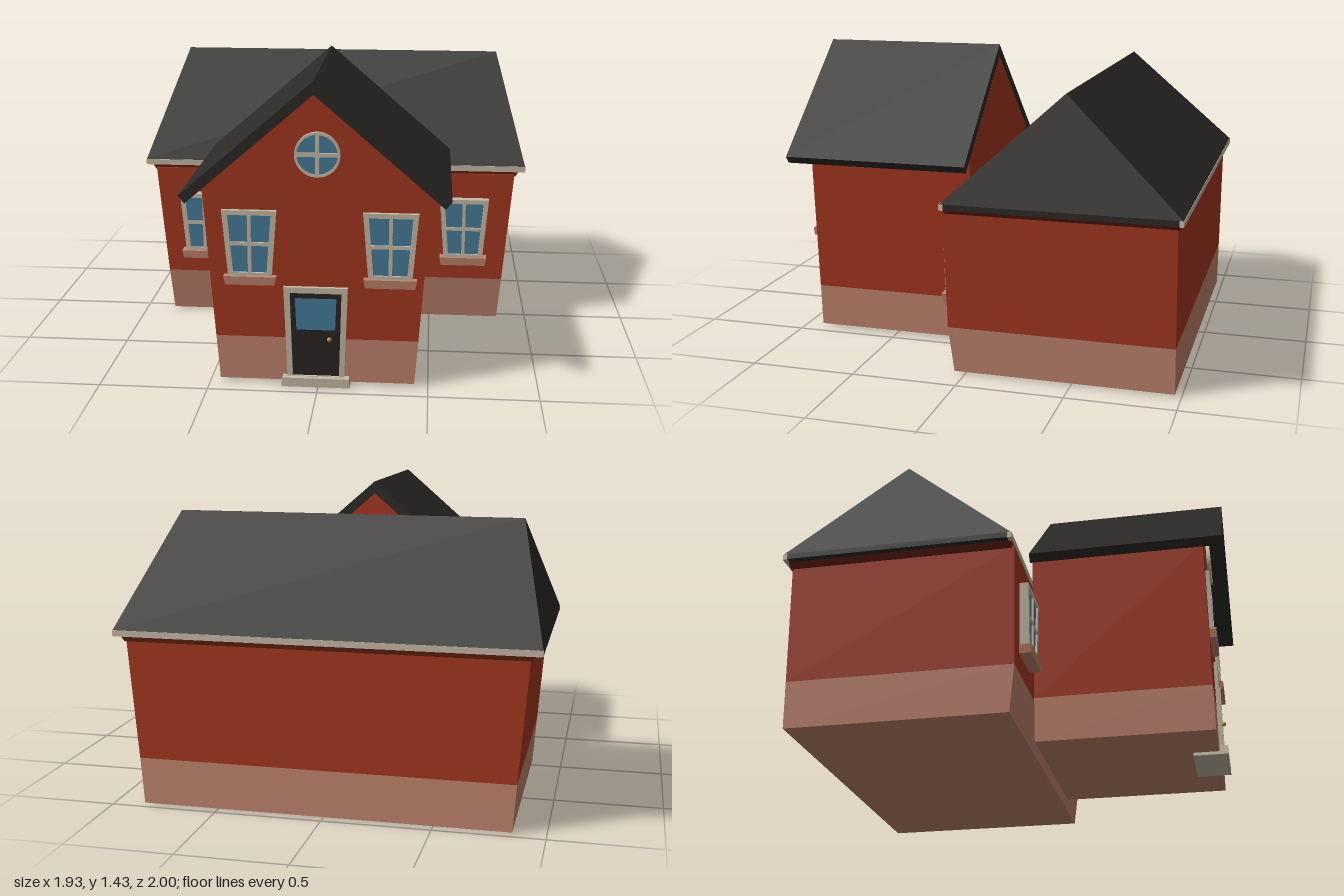
import * as THREE from 'three';

const mat = (color) => new THREE.MeshStandardMaterial({ color, flatShading: true });
const M = {
  wall: mat(0xa83820), base: mat(0xc48670), roof: mat(0x2b2a28), cornice: mat(0x6b2413),
  trim: mat(0xc9bda8), glass: mat(0x467f9c), door: mat(0x282422), knob: mat(0xc08a2a),
};

// Mesh with a name, added to its parent
function add(parent, name, geometry, material, x = 0, y = 0, z = 0) {
  const mesh = new THREE.Mesh(geometry, material);
  mesh.name = name;
  mesh.position.set(x, y, z);
  parent.add(mesh);
  return mesh;
}

// Box whose bottom and top rectangles differ: [x0, x1, z0, z1]
function frustum(y0, y1, bottom, top = bottom) {
  const g = new THREE.BoxGeometry(1, 1, 1);
  const p = g.attributes.position;
  for (let i = 0; i < p.count; i++) {
    const r = p.getY(i) > 0 ? top : bottom;
    p.setXYZ(i, p.getX(i) > 0 ? r[1] : r[0], p.getY(i) > 0 ? y1 : y0, p.getZ(i) > 0 ? r[3] : r[2]);
  }
  g.computeVertexNormals();
  return g;
}

const poly = (pts) => new THREE.Shape(pts.map(([x, y]) => new THREE.Vector2(x, y)));
const extrude = (shape, depth) =>
  new THREE.ExtrudeGeometry(shape, { depth, bevelEnabled: false, curveSegments: 24 });
// Symmetric trapezoid, half widths b (bottom) and t (top)
const trapezoid = (b, t, y0, y1) => poly([[-b, y0], [b, y0], [t, y1], [-t, y1]]);

// Four-pane tapered window; origin at the frame's bottom centre, front face at z = 0
function makeWindow(depth) {
  const g = new THREE.Group();
  g.name = 'window';
  const h = 0.31, b = 0.098, t = 0.123, bar = 0.008;
  const frame = trapezoid(b, t, 0, h);
  const inner = (y) => b + (t - b) * y / h - 0.024;
  for (const s of [-1, 1]) {
    for (const [y0, y1] of [[0.02, 0.146], [0.162, h - 0.022]]) {
      frame.holes.push(poly([[s * bar, y0], [s * inner(y0), y0], [s * inner(y1), y1], [s * bar, y1]]));
    }
  }
  add(g, 'windowFrame', extrude(frame, depth), M.trim, 0, 0, -depth);
  add(g, 'windowGlass', new THREE.ShapeGeometry(trapezoid(b - 0.01, t - 0.01, 0.01, h - 0.01)), M.glass, 0, 0, -0.009);
  add(g, 'windowSill', frustum(-0.035, 0.005, [-0.111, 0.111, -depth, 0.012], [-0.119, 0.119, -depth, 0.014]), M.base);
  return g;
}

function makeRoundWindow() {
  const g = new THREE.Group();
  g.name = 'roundWindow';
  const R = 0.101, r = 0.09, bar = 0.009;
  const frame = new THREE.Shape().absarc(0, 0, R, 0, Math.PI * 2);
  const a = Math.asin(bar / r), c = Math.sqrt(r * r - bar * bar);
  // Quarter panes
  for (let k = 0; k < 4; k++) {
    const q = k * Math.PI / 2;
    const pts = [[bar, bar], [c, bar]];
    for (let i = 1; i <= 8; i++) {
      const u = a + (Math.PI / 2 - 2 * a) * i / 8;
      pts.push([r * Math.cos(u), r * Math.sin(u)]);
    }
    frame.holes.push(poly(pts.map(([x, y]) =>
      [x * Math.cos(q) - y * Math.sin(q), x * Math.sin(q) + y * Math.cos(q)])));
  }
  add(g, 'roundFrame', extrude(frame, 0.018), M.trim, 0, 0, -0.018);
  add(g, 'roundGlass', new THREE.CircleGeometry(0.095, 32), M.glass, 0, 0, -0.009);
  return g;
}

function makeDoor() {
  const g = new THREE.Group();
  g.name = 'door';
  const frame = trapezoid(0.13, 0.145, 0.03, 0.475);
  frame.holes.push(poly([[-0.106, 0.045], [0.106, 0.045], [0.117, 0.448], [-0.117, 0.448]]));
  add(g, 'doorFrame', extrude(frame, 0.018), M.trim, 0, 0, -0.018);
  add(g, 'doorLeaf', new THREE.ShapeGeometry(trapezoid(0.115, 0.125, 0.035, 0.46)), M.door, 0, 0, -0.01);
  add(g, 'doorGlass', new THREE.ShapeGeometry(trapezoid(0.088, 0.094, 0.27, 0.422)), M.glass, 0, 0, -0.006);
  add(g, 'doorKnob', new THREE.SphereGeometry(0.011, 12, 8), M.knob, 0.063, 0.23, 0.006);
  add(g, 'doorStep', frustum(0, 0.043, [-0.157, 0.157, -0.14, 0.022], [-0.152, 0.152, -0.14, 0.022]), M.trim);
  return g;
}

function makeMainBlock() {
  const g = new THREE.Group();
  g.name = 'mainBlock';
  const mid = [-0.868, 0.868, -0.97, 0.077];
  add(g, 'mainBase', frustum(0.008, 0.225, [-0.852, 0.852, -0.97, 0.053], mid), M.base);
  add(g, 'mainWalls', frustum(0.225, 0.785, mid, [-0.913, 0.913, -0.97, 0.082]), M.wall);
  add(g, 'cornice', frustum(0.775, 0.803, [-0.918, 0.918, -0.978, 0.07], [-0.935, 0.935, -0.984, 0.074]), M.cornice);
  // Hipped roof with a shallow eave slab
  const eave = [-0.965, 0.965, -0.998, 0.076];
  add(g, 'eaveSlab', frustum(0.802, 0.828, eave), M.roof);
  add(g, 'hipRoof', frustum(0.828, 1.32, eave, [-0.828, 0.828, -0.461, -0.459]), M.roof);
  // Pale fascia along front and back only
  add(g, 'frontFascia', frustum(0.8, 0.828, [-0.966, 0.966, 0.06, 0.08]), M.trim);
  add(g, 'backFascia', frustum(0.8, 0.828, [-0.966, 0.966, -1, -0.98]), M.trim);
  for (const s of [-1, 1]) {
    const w = makeWindow(0.045);
    w.position.set(s * 0.666, 0.35, 0.122);
    g.add(w);
  }
  return g;
}

function makeFrontBlock() {
  const g = new THREE.Group();
  g.name = 'frontBlock';
  g.position.x = -0.008;
  const depth = 0.82, z0 = 0.085;
  add(g, 'frontBase', extrude(trapezoid(0.446, 0.461, 0.015, 0.225), depth), M.base, 0, 0, z0);
  const gable = poly([[-0.461, 0.225], [0.461, 0.225], [0.509, 0.93], [0, 1.369], [-0.509, 0.93]]);
  add(g, 'gableWalls', extrude(gable, depth), M.wall, 0, 0, z0);
  // Chevron roof slab overhanging the front
  const chevron = poly([[-0.595, 0.915], [-0.567, 0.88], [0, 1.371], [0.567, 0.88], [0.595, 0.915], [0, 1.43]]);
  add(g, 'gableRoof', extrude(chevron, 0.915), M.roof, 0, 0, z0);
  const face = 0.923;
  for (const x of [-0.298, 0.331]) {
    const w = makeWindow(0.02);
    w.position.set(x, 0.52, face);
    g.add(w);
  }
  const round = makeRoundWindow();
  round.position.set(0.007, 1.089, face);
  const door = makeDoor();
  door.position.set(-0.003, 0, face);
  g.add(round, door);
  return g;
}

export function createModel() {
  const house = new THREE.Group();
  house.name = 'house';
  house.add(makeMainBlock(), makeFrontBlock());
  return house;
}
